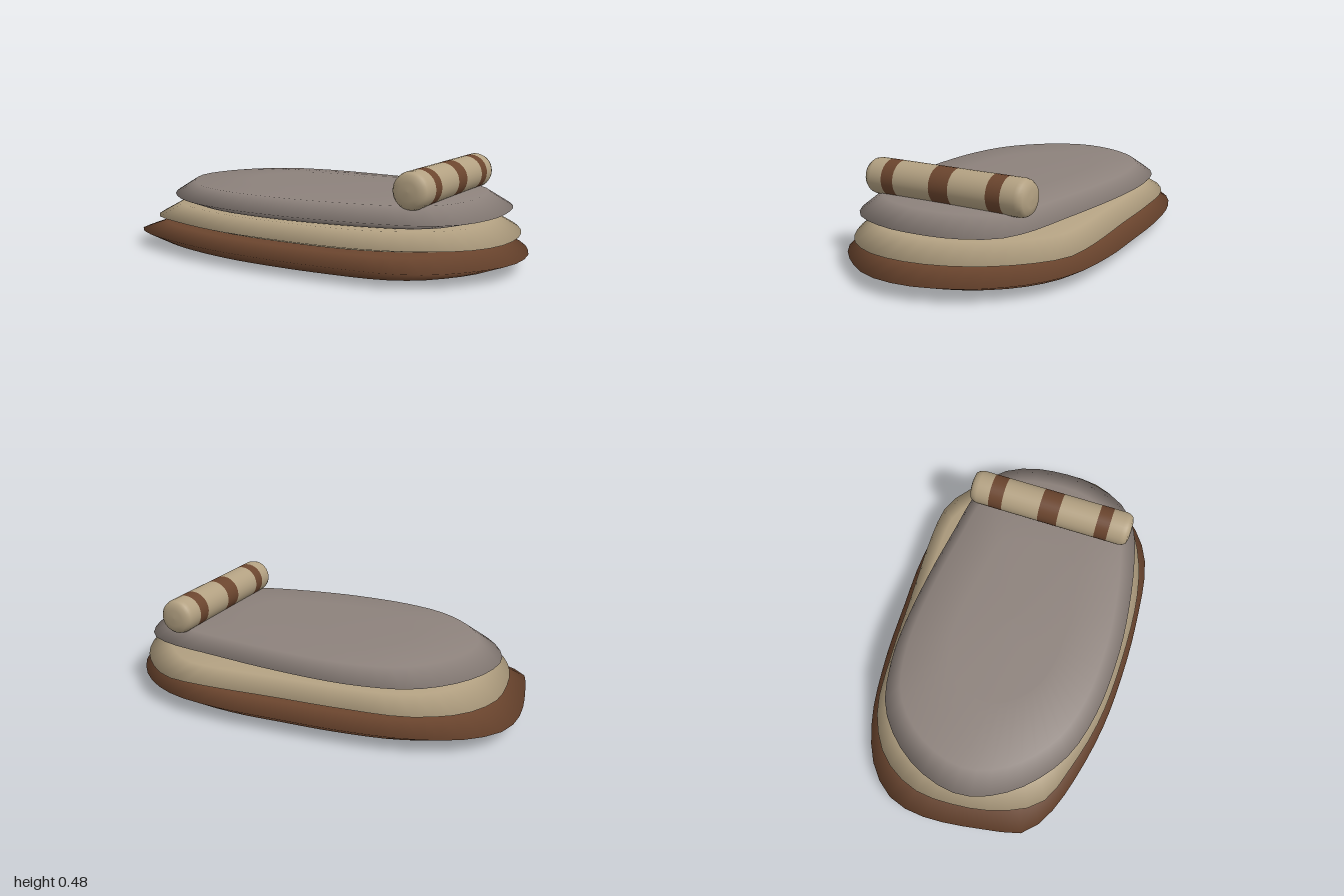
import * as THREE from 'three';

const material = (name, color) => {
  const m = new THREE.MeshStandardMaterial({ color });
  m.name = name;
  return m;
};

// Closed pad: a smoothed outline scaled into rings, [scale, height] from bottom to top
function padGeometry(outline, rings) {
  const n = 56;
  const curve = new THREE.CatmullRomCurve3(
    outline.map(([x, z]) => new THREE.Vector3(x, 0, z)), true);
  const points = curve.getSpacedPoints(n).slice(0, n);
  const positions = [];
  const index = [];
  rings.forEach(([scale, y]) => points.forEach(p => positions.push(p.x * scale, y, p.z * scale)));
  for (let r = 0; r < rings.length - 1; r++) {
    for (let i = 0; i < n; i++) {
      const j = (i + 1) % n;
      const a = r * n + i, b = r * n + j, c = b + n, d = a + n;
      if (r > 0) index.push(a, d, b);
      if (r < rings.length - 2) index.push(b, d, c);
    }
  }
  // The innermost rings close to a single point
  const bottom = positions.length / 3;
  positions.push(0, rings[0][1], 0, 0, rings[rings.length - 1][1], 0);
  const last = (rings.length - 2) * n;
  for (let i = 0; i < n; i++) {
    const j = (i + 1) % n;
    index.push(bottom, n + i, n + j, bottom + 1, last + j, last + i);
  }
  // Drop the collapsed end-ring faces, keeping only the fans above
  const clean = [];
  for (let k = 0; k < index.length; k += 3) {
    const t = index.slice(k, k + 3);
    const collapsed = t.some(v => v < n || (v >= last + n && v < bottom));
    if (!collapsed) clean.push(...t);
  }
  const g = new THREE.BufferGeometry();
  g.setAttribute('position', new THREE.Float32BufferAttribute(positions, 3));
  g.setIndex(clean);
  g.computeVertexNormals();
  return g;
}

const padRings = (y0, yMid, y1) => [
  [0, y0], [0.5, y0 + 0.003], [0.87, y0 + 0.018], [1, yMid],
  [0.87, y1 - 0.013], [0.5, y1 - 0.002], [0, y1],
];

export function createModel() {
  const group = new THREE.Group();
  const brown = material('brown', 0x6b452e);
  const tan = material('tan', 0xb3a182);
  const grey = material('warm grey', 0x8d827c);

  const add = (name, geometry, mat, parent = group) => {
    const mesh = new THREE.Mesh(geometry, mat);
    mesh.name = name;
    parent.add(mesh);
    return mesh;
  };

  // Three stacked pads
  add('bottomPad', padGeometry([
    [-1, -0.12], [-0.97, -0.29], [-0.85, -0.43], [-0.63, -0.53], [-0.32, -0.58], [0, -0.595],
    [0.27, -0.6], [0.55, -0.56], [0.75, -0.45], [0.9, -0.28], [0.98, -0.1], [1, 0.02],
    [0.98, 0.18], [0.88, 0.35], [0.75, 0.48], [0.6, 0.55], [0.27, 0.59], [0, 0.597],
    [-0.3, 0.58], [-0.6, 0.52], [-0.8, 0.45], [-0.92, 0.36], [-0.96, 0.2], [-0.99, 0.02],
  ], padRings(0, 0.07, 0.13)), brown);

  add('middlePad', padGeometry([
    [-0.91, 0], [-0.9, -0.2], [-0.8, -0.38], [-0.6, -0.5], [-0.3, -0.54], [0, -0.555],
    [0.4, -0.575], [0.57, -0.56], [0.7, -0.48], [0.83, -0.34], [0.92, -0.17], [0.96, 0.02],
    [0.94, 0.2], [0.85, 0.35], [0.65, 0.48], [0.4, 0.55], [0, 0.57], [-0.3, 0.55],
    [-0.55, 0.49], [-0.77, 0.4], [-0.87, 0.22],
  ], padRings(0.112, 0.155, 0.232)), tan);

  add('topPad', padGeometry([
    [-0.87, 0], [-0.83, -0.17], [-0.73, -0.33], [-0.58, -0.45], [-0.38, -0.5], [-0.2, -0.51],
    [0.1, -0.49], [0.4, -0.45], [0.65, -0.41], [0.78, -0.35], [0.87, -0.2], [0.9, 0],
    [0.89, 0.15], [0.82, 0.33], [0.7, 0.43], [0.5, 0.49], [0.2, 0.535], [0, 0.545],
    [-0.3, 0.525], [-0.55, 0.45], [-0.75, 0.29], [-0.85, 0.12],
  ], padRings(0.208, 0.258, 0.338)), grey);

  // Roll with rounded ends, lying along z
  const roll = new THREE.Group();
  roll.name = 'roll';
  roll.position.set(0.615, 0.392, 0.005);
  roll.rotation.x = Math.PI / 2;
  group.add(roll);
  const R = 0.084;
  const endProfile = [[R, 0.31], [R, 0.375], [0.079, 0.395], [0.068, 0.41], [0.04, 0.417], [0, 0.419]]
    .map(([r, y]) => new THREE.Vector2(r, y));
  for (const s of [-1, 1]) {
    const profile = s > 0 ? endProfile
      : endProfile.map(p => new THREE.Vector2(p.x, -p.y)).reverse();
    add('rollEnd', new THREE.LatheGeometry(profile, 32), tan, roll);
  }
  // Alternating bands between the ends
  const cuts = [-0.31, -0.24, -0.05, 0.05, 0.245, 0.31];
  for (let i = 0; i < cuts.length - 1; i++) {
    const length = cuts[i + 1] - cuts[i];
    const band = add(i % 2 ? 'rollSection' : 'rollStripe',
      new THREE.CylinderGeometry(R, R, length, 32, 1, true), i % 2 ? tan : brown, roll);
    band.position.y = cuts[i] + length / 2;
  }
  return group;
}
